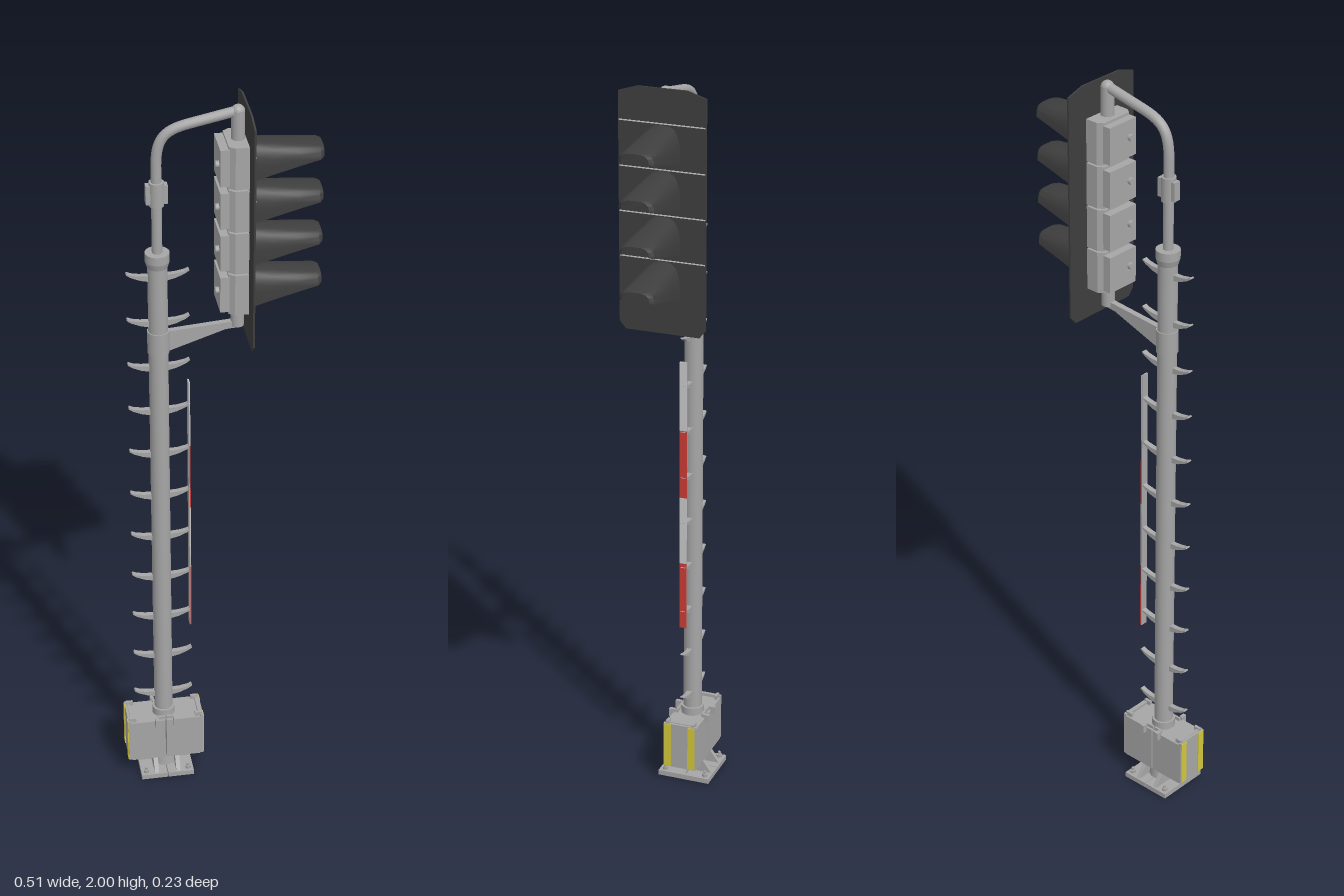
import * as THREE from 'three';
import { toCreasedNormals } from 'three/addons/utils/BufferGeometryUtils.js';

const mat = (name, color) => {
  const m = new THREE.MeshStandardMaterial({ color });
  m.name = name;
  return m;
};

export function createModel() {
  const root = new THREE.Group();
  root.name = 'trafficSignal';
  const grey = mat('painted grey', 0xa6a6a6);
  const light = mat('light grey', 0xc9c9c9);
  const black = mat('visor black', 0x3e3e3e);
  const dark = mat('dark lens', 0x4a4c4c);
  const green = mat('green lens', 0x3fc984);
  const red = mat('red reflector', 0xcc3a34);
  const yellow = mat('yellow marking', 0xd2c63c);
  black.side = THREE.DoubleSide;

  const add = (name, geo, m, x = 0, y = 0, z = 0, parent = root) => {
    const mesh = new THREE.Mesh(geo, m);
    mesh.name = name;
    mesh.position.set(x, y, z);
    parent.add(mesh);
    return mesh;
  };
  const group = (name) => {
    const g = new THREE.Group();
    g.name = name;
    root.add(g);
    return g;
  };
  // box given by its min and max corners
  const box = (name, m, x0, x1, y0, y1, z0, z1, parent = root) =>
    add(name, new THREE.BoxGeometry(x1 - x0, y1 - y0, z1 - z0), m, (x0 + x1) / 2, (y0 + y1) / 2, (z0 + z1) / 2, parent);
  const cyl = (name, m, r0, r1, y0, y1, x, z, parent = root, seg = 20) =>
    add(name, new THREE.CylinderGeometry(r1, r0, y1 - y0, seg), m, x, (y0 + y1) / 2, z, parent);
  // flat outline in x,y extruded along z, centred on z = 0
  const slab = (pts, depth) => {
    const g = new THREE.ExtrudeGeometry(new THREE.Shape(pts.map(p => new THREE.Vector2(...p))), { depth, bevelEnabled: false });
    return g.translate(0, 0, -depth / 2);
  };
  const MX = -0.15; // mast axis

  // Base: split foot plate, flared gussets, bolts
  const base = group('base');
  for (const s of [-1, 1]) {
    const a = MX + s * 0.001, b = MX + s * 0.072;
    box('footPlate', grey, Math.min(a, b), Math.max(a, b), 0, 0.014, -0.073, 0.073, base);
    for (const t of [-1, 1]) {
      cyl('bolt', grey, 0.008, 0.008, 0.014, 0.022, MX + s * 0.058, t * 0.058, base, 6);
      cyl('boltStud', grey, 0.004, 0.004, 0.022, 0.03, MX + s * 0.058, t * 0.058, base, 8);
    }
    const gusset = slab([[-0.068, 0.014], [0.068, 0.014], [0.042, 0.05], [-0.042, 0.05]], 0.012).rotateY(Math.PI / 2);
    add('gusset', gusset, grey, MX + s * 0.03, 0, 0, base);
  }
  cyl('footCollar', grey, 0.038, 0.034, 0.014, 0.05, MX, 0, base);
  add('footWeb', slab([[-0.07, 0.014], [0.07, 0.014], [0.045, 0.05], [-0.045, 0.05]], 0.012), grey, MX, 0, 0, base);

  // Two cabinets around the mast, with marked doors, hinges and latches
  for (const s of [-1, 1]) {
    const cab = new THREE.Group();
    cab.name = s > 0 ? 'frontCabinet' : 'backCabinet';
    cab.position.x = MX;
    cab.rotation.y = s > 0 ? 0 : Math.PI;
    root.add(cab);
    box('cabinetBody', grey, 0.0015, 0.095, 0.05, 0.178, -0.046, 0.046, cab);
    box('cabinetDoor', grey, 0.095, 0.103, 0.052, 0.184, -0.046, 0.046, cab);
    for (const t of [-1, 1]) {
      box('yellowStripe', yellow, 0.103, 0.105, 0.054, 0.182, t * 0.034 - 0.01, t * 0.034 + 0.01, cab);
      box('doorHook', grey, 0.08, 0.1, 0.178, 0.19, t * 0.037 - 0.004, t * 0.037 + 0.004, cab);
      box('sideClip', grey, 0.02, 0.03, 0.165, 0.188, t * 0.05 - 0.008, t * 0.05 + 0.008, cab);
    }
    box('doorRail', grey, 0.09, 0.096, 0.178, 0.186, -0.034, 0.034, cab);
    box('lidBar', grey, 0.002, 0.026, 0.178, 0.187, -0.04, -0.034, cab);
    box('lidBar', grey, 0.002, 0.026, 0.178, 0.187, 0.034, 0.04, cab);
  }

  // Mast
  cyl('mastFlange', grey, 0.031, 0.031, 0.17, 0.2, MX, 0);
  cyl('mast', grey, 0.025, 0.025, 0.05, 1.59, MX, 0, root, 24);
  cyl('mastCap', grey, 0.026, 0.031, 1.575, 1.592, MX, 0);
  cyl('mastCapRim', grey, 0.031, 0.031, 1.592, 1.615, MX, 0);

  // Climbing steps on both sides
  const stepGeo = slab([[0.02, -0.016], [0.045, -0.01], [0.068, 0], [0.079, 0.008],
    [0.077, 0.011], [0.066, 0.006], [0.045, 0.002], [0.02, 0.001]], 0.014);
  const steps = group('climbingSteps');
  for (let i = 0; i < 11; i++) {
    for (const s of [0, 1]) {
      const step = add('step', stepGeo, grey, MX, 0.25 + i * 0.1302, 0, steps);
      step.rotation.y = s * Math.PI;
    }
  }

  // Reflector strip: alternating red and light bands on a thin backing
  const strip = group('reflectorStrip');
  box('stripBacking', grey, -0.077, -0.0745, 0.47, 1.235, -0.01, 0.01, strip);
  for (let i = 0; i < 4; i++) {
    const y = 0.47 + i * 0.191;
    box(i % 2 ? 'lightBand' : 'redBand', i % 2 ? light : red, -0.0745, -0.072, y, y + 0.191, -0.01, 0.01, strip);
  }

  // Upper arm: bent pipe with a junction clamp and end elbow
  const V = (x, y) => new THREE.Vector3(x, y, 0);
  const armPath = new THREE.CurvePath();
  armPath.add(new THREE.LineCurve3(V(MX, 1.6), V(MX, 1.85)));
  armPath.add(new THREE.CubicBezierCurve3(V(MX, 1.85), V(MX, 1.925), V(-0.13, 1.945), V(-0.07, 1.958)));
  armPath.add(new THREE.LineCurve3(V(-0.07, 1.958), V(0.05, 1.983)));
  add('upperArm', new THREE.TubeGeometry(armPath, 48, 0.013, 14), grey);
  box('clampBody', grey, MX - 0.027, MX + 0.027, 1.752, 1.802, -0.01, 0.01);
  cyl('clampRing', grey, 0.019, 0.019, 1.745, 1.809, MX, 0);
  cyl('headPole', grey, 0.017, 0.017, 1.39, 1.985, 0.05, 0);
  add('elbowCap', new THREE.SphereGeometry(0.017, 16, 8, 0, Math.PI * 2, 0, Math.PI / 2), grey, 0.05, 1.982, 0);

  // Lower bracket
  add('lowerBracket', slab([[-0.13, 1.332], [0.02, 1.383], [0.06, 1.386], [0.06, 1.405], [-0.13, 1.39]], 0.016), grey);
  cyl('bracketCollar', grey, 0.028, 0.028, 1.33, 1.392, MX, 0);

  // Backplate with clipped corners, in the z,y plane
  const plate = slab([[-0.098, 1.367], [0.098, 1.367], [0.115, 1.387], [0.115, 1.983],
    [0.065, 1.999], [-0.065, 1.999], [-0.115, 1.983], [-0.115, 1.387]], 0.005).rotateY(Math.PI / 2);
  add('backplate', plate, black, 0.072);

  // Visor: arched sections that flatten toward the tip, open underneath
  const visorGeo = () => {
    const rows = [[0, 0.05, -0.045, 0.048], [0.06, 0.044, -0.027, 0.049], [0.12, 0.038, -0.011, 0.048],
      [0.172, 0.032, 0.001, 0.046], [0.182, 0.029, 0.006, 0.036]];
    const N = 14, pos = [], idx = [];
    rows.forEach(([x, top, bottom, w], r) => {
      for (let j = 0; j <= N; j++) {
        const a = Math.PI * j / N, c = Math.cos(a);
        pos.push(x, bottom + (top - bottom) * Math.pow(Math.max(0, Math.sin(a)), 0.75),
          w * Math.sign(c) * Math.pow(Math.abs(c), 0.6));
        if (r && j) {
          const k = r * (N + 1) + j, p = k - N - 1;
          idx.push(p - 1, p, k - 1, p, k, k - 1);
        }
      }
    });
    const g = new THREE.BufferGeometry();
    g.setAttribute('position', new THREE.Float32BufferAttribute(pos, 3));
    g.setIndex(idx);
    return toCreasedNormals(g, 0.6);
  };
  const visor = visorGeo();
  const lensGeo = new THREE.SphereGeometry(0.035, 24, 6, 0, Math.PI * 2, 0, Math.PI / 2)
    .scale(1, 0.3, 1).rotateZ(-Math.PI / 2);
  const ringGeo = new THREE.TorusGeometry(0.037, 0.004, 8, 28).rotateY(Math.PI / 2);
  // tapered rear housing in x,z, extruded upward
  const housingGeo = slab([[0.07, -0.055], [0.07, 0.055], [0.035, 0.055], [0.02, 0.044],
    [0.02, -0.044], [0.035, -0.055]], 0.112).rotateX(Math.PI / 2);

  // Four signal units
  for (let i = 0; i < 4; i++) {
    const unit = group('signalUnit' + (i + 1));
    unit.position.y = 1.857 - i * 0.1165;
    add('housing', housingGeo, grey, 0, -0.003, 0, unit);
    box('rearDoor', grey, -0.001, 0.022, -0.052, 0.046, -0.047, 0.047, unit);
    const knob = cyl('doorKnob', grey, 0.009, 0.009, -0.006, 0.006, -0.004, 0.025, unit, 12);
    knob.rotation.z = Math.PI / 2;
    add('visor', visor, black, 0.0735, 0, 0, unit);
    add('lensRing', ringGeo, light, 0.077, 0, 0, unit);
    add('lens', lensGeo, i === 1 ? green : dark, 0.0745, 0, 0, unit);
    box('seamStrip', light, 0.0745, 0.0755, 0.052, 0.055, -0.113, 0.113, unit);
  }
  return root;
}
